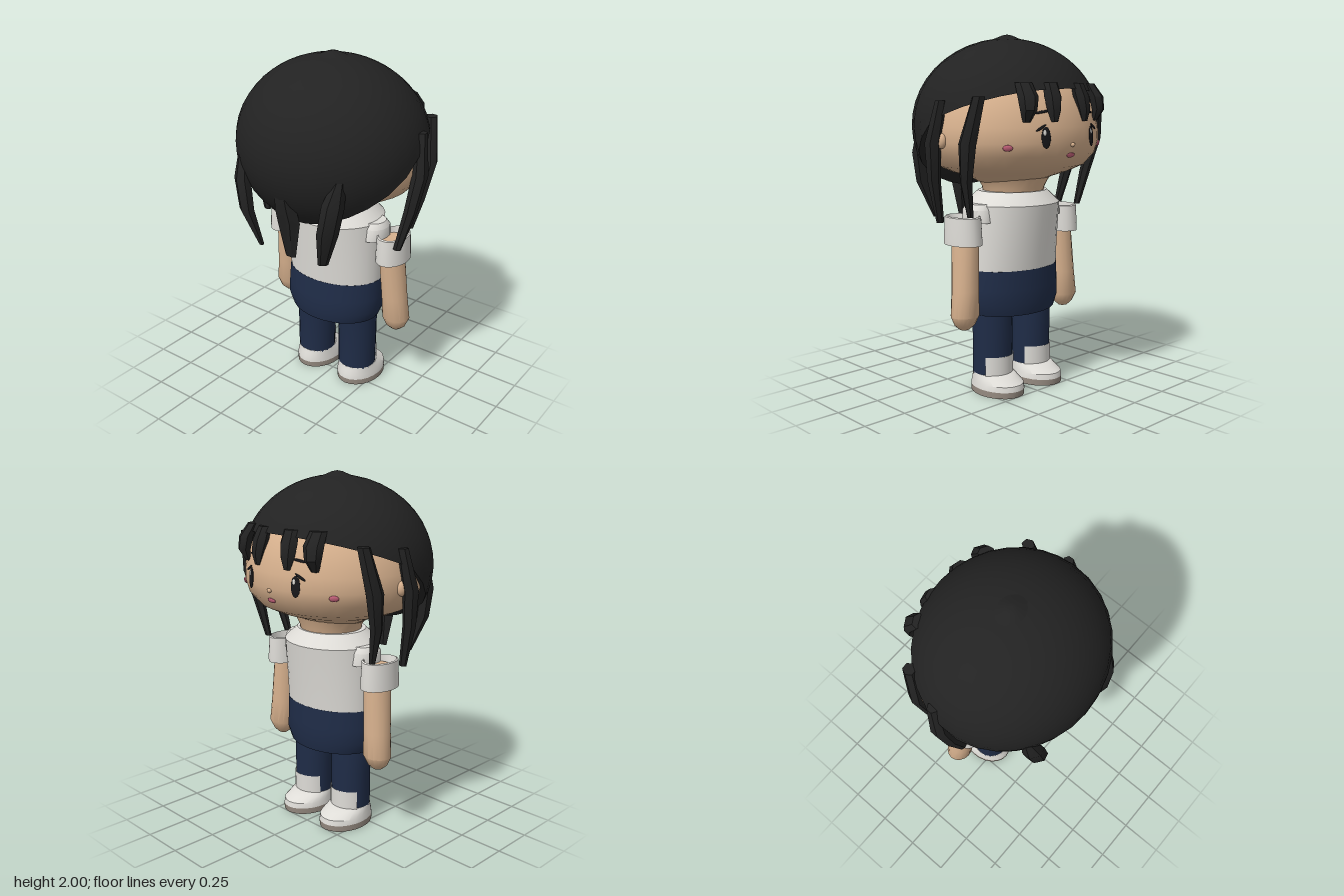
import * as THREE from 'three';
import { toCreasedNormals } from 'three/addons/utils/BufferGeometryUtils.js';

const mat = (name, color, side = THREE.FrontSide) => {
  const m = new THREE.MeshStandardMaterial({ color, side });
  m.name = name;
  return m;
};

// Closed skin over horizontal ellipses [x, y, z, rx, rz], listed bottom to top, turned by rot
function loft(rings, n = 24, rot = 0, crease = 0.6) {
  const pos = [], idx = [], c = Math.cos(rot), s = Math.sin(rot);
  rings.forEach(([x, y, z, rx, rz]) => {
    for (let i = 0; i < n; i++) {
      const a = i / n * Math.PI * 2, u = Math.cos(a) * rx, v = Math.sin(a) * rz;
      pos.push(x + u * c + v * s, y, z - u * s + v * c);
    }
  });
  const last = (rings.length - 1) * n, lo = rings.length * n, hi = lo + 1;
  pos.push(...rings[0].slice(0, 3), ...rings[rings.length - 1].slice(0, 3));
  for (let i = 0; i < n; i++) {
    const k = (i + 1) % n;
    for (let j = 0; j < last; j += n)
      idx.push(j + i, j + n + i, j + k, j + k, j + n + i, j + n + k);
    idx.push(lo, i, k, hi, last + k, last + i);
  }
  const g = new THREE.BufferGeometry();
  g.setAttribute('position', new THREE.Float32BufferAttribute(pos, 3));
  g.setIndex(idx);
  g.computeVertexNormals();
  return toCreasedNormals(g, crease);
}

// Hair cap: ellipsoid cut by a sloping hairline, with a lip turned in to the head
function hairCap() {
  const n = 32, rows = 14, pos = [], idx = [];
  for (let j = 0; j <= rows + 1; j++) {
    for (let i = 0; i < n; i++) {
      const t = i / n * Math.PI * 2, c = Math.cos(t);
      const edge = 1.53 + (c > 0 ? -0.47 * c + 0.08 * c * c : -0.22 * c - 0.05 * c * c);
      const end = Math.acos((edge - 1.5) / 0.48);
      const p = end * Math.min(j, rows) / rows, k = j > rows ? 0.8 : 1;
      pos.push(0.55 * Math.sin(p) * Math.sin(t) * k, 1.5 + 0.48 * Math.cos(p) + (j > rows ? 0.05 : 0),
        0.51 * Math.sin(p) * c * k);
    }
  }
  for (let j = 0; j <= rows; j++) for (let i = 0; i < n; i++) {
    const a = j * n + i, b = j * n + (i + 1) % n;
    if (j > 0) idx.push(a, a + n, b);
    idx.push(b, a + n, b + n);
  }
  const g = new THREE.BufferGeometry();
  g.setAttribute('position', new THREE.Float32BufferAttribute(pos, 3));
  g.setIndex(idx);
  g.computeVertexNormals();
  return toCreasedNormals(g, 0.9);
}

// Head radii along y
const HEAD = [[1.19, 0.18], [1.215, 0.22], [1.25, 0.32], [1.285, 0.395], [1.35, 0.45], [1.42, 0.47],
  [1.5, 0.465], [1.6, 0.437], [1.7, 0.385], [1.82, 0.25], [1.88, 0.08]];
const HZ = -0.03, HX = 1.11;
function faceZ(x, y) {
  let i = 0;
  while (i < HEAD.length - 2 && HEAD[i + 1][0] < y) i++;
  const [y0, r0] = HEAD[i], [y1, r1] = HEAD[i + 1];
  const r = r0 + (r1 - r0) * (y - y0) / (y1 - y0);
  return HZ - r * Math.sqrt(Math.max(0, 1 - (x / (r * HX)) ** 2));
}

export function createModel() {
  const root = new THREE.Group();
  root.name = 'figure';
  const hair = mat('black hair', 0x222222, THREE.DoubleSide);
  const skin = mat('skin', 0xd6b08d);
  const white = mat('white cloth', 0xdedcd7, THREE.DoubleSide);
  const navy = mat('navy cloth', 0x1f2c47);
  const sole = mat('taupe sole', 0x958a80);
  const pink = mat('pink', 0xc4627a);
  const dark = mat('eye black', 0x17171a);

  const add = (name, geo, m) => {
    const mesh = new THREE.Mesh(geo, m);
    mesh.name = name;
    root.add(mesh);
    return mesh;
  };

  // Head, neck and hair
  add('head', loft(HEAD.map(([y, r]) => [0, y, HZ, r * HX, r]), 32, 0, 1), skin);
  add('neck', loft([[0, 1.08, -0.05, 0.17, 0.16], [0, 1.16, -0.05, 0.18, 0.175], [0, 1.22, -0.05, 0.22, 0.2]]), skin);
  add('hairCap', hairCap(), hair);
  add('crownTip', loft([[0, 1.955, 0, 0.14, 0.12], [0, 1.98, 0, 0.07, 0.06], [0, 1.995, 0, 0.03, 0.03],
    [0, 2, 0, 0.006, 0.006]], 16), hair);

  // Hair locks: [x, y, z, half width, half depth] from root to tip
  const locks = {
    backLock: [[0.32, 1.46, 0.38, 0.03, 0.03], [0.305, 1.34, 0.41, 0.06, 0.045], [0.275, 1.17, 0.42, 0.058, 0.04],
      [0.215, 0.96, 0.38, 0.028, 0.015]],
    sideLock: [[0.525, 1.64, -0.055, 0.03, 0.03], [0.55, 1.42, -0.015, 0.045, 0.042], [0.52, 1.22, 0.015, 0.036, 0.036],
      [0.46, 0.985, 0.04, 0.014, 0.024]],
    templeLock: [[0.455, 1.66, -0.27, 0.035, 0.035], [0.495, 1.42, -0.225, 0.05, 0.035], [0.465, 1.22, -0.18, 0.035, 0.03],
      [0.42, 1.03, -0.16, 0.018, 0.018]],
    outerFringe: [[0.255, 1.73, -0.385, 0.045, 0.03], [0.265, 1.66, -0.43, 0.055, 0.04], [0.27, 1.59, -0.44, 0.045, 0.035],
      [0.265, 1.53, -0.42, 0.02, 0.015]],
    innerFringe: [[0.105, 1.73, -0.43, 0.045, 0.03], [0.11, 1.66, -0.455, 0.053, 0.04], [0.115, 1.59, -0.47, 0.042, 0.033],
      [0.115, 1.53, -0.475, 0.02, 0.015]],
  };
  for (const [name, pts] of Object.entries(locks)) for (const s of [1, -1]) {
    const rot = Math.atan2(s * pts[1][0], pts[1][2]);
    add(name, loft(pts.map(([x, ...r]) => [s * x, ...r]).reverse(), 6, rot), hair);
  }
  add('centreBackLock', loft([[0, 0.95, 0.385, 0.035, 0.014], [0, 1.17, 0.4, 0.08, 0.045],
    [0, 1.25, 0.42, 0.075, 0.045], [0, 1.34, 0.44, 0.06, 0.035]], 6), hair);

  // Painted face pieces laid on the surface
  const ball = new THREE.SphereGeometry(1, 20, 12);
  const onFace = (name, x, y, w, h, d, m, roll = 0, lift = 0) => {
    const z = faceZ(x, y), e = 0.01;
    const nx = (faceZ(x + e, y) - faceZ(x - e, y)) / (2 * e), ny = (faceZ(x, y + e) - faceZ(x, y - e)) / (2 * e);
    const nrm = new THREE.Vector3(nx, ny, -1).normalize();
    const mesh = add(name, ball, m);
    mesh.position.set(x, y, z).addScaledVector(nrm, lift);
    mesh.lookAt(mesh.position.clone().add(nrm));
    mesh.rotateZ(roll);
    mesh.scale.set(w, h, d);
  };
  for (const s of [1, -1]) {
    onFace('eye', s * 0.175, 1.45, 0.027, 0.056, 0.005, dark, 0, 0.002);
    onFace('eyeHighlight', s * 0.175 + 0.008, 1.475, 0.009, 0.015, 0.004, white, 0, 0.006);
    onFace('eyelash', s * 0.2, 1.5, 0.035, 0.007, 0.005, dark, s * 0.5, 0.004);
    onFace('eyebrow', s * 0.18, 1.58, 0.05, 0.007, 0.005, dark, s * 0.15, 0.003);
    onFace('cheek', s * 0.35, 1.4, 0.026, 0.017, 0.009, pink, 0, 0.002);
    const ear = add('ear', ball, skin);
    ear.position.set(s * 0.52, 1.43, -0.05);
    ear.scale.set(0.025, 0.04, 0.03);
  }
  onFace('mouth', 0, 1.355, 0.03, 0.014, 0.006, pink, 0, 0.002);
  onFace('nose', 0, 1.41, 0.014, 0.012, 0.014, skin);

  // Shirt and shorts
  add('shirt', loft([[0, 0.71, -0.035, 0.298, 0.215], [0, 0.85, -0.037, 0.293, 0.227], [0, 1.07, -0.043, 0.285, 0.25],
    [0, 1.14, -0.045, 0.205, 0.185]], 32), white);
  add('shorts', loft([[0, 0.455, -0.03, 0.28, 0.212], [0, 0.52, -0.03, 0.308, 0.226], [0, 0.6, -0.032, 0.306, 0.222],
    [0, 0.71, -0.035, 0.299, 0.216]], 32), navy);

  for (const s of [1, -1]) {
    // Arm and open sleeve
    add('arm', loft([[s * 0.395, 0.405, -0.08, 0.03, 0.025], [s * 0.395, 0.43, -0.08, 0.06, 0.05],
      [s * 0.395, 0.48, -0.082, 0.082, 0.073], [s * 0.385, 0.62, -0.075, 0.076, 0.074],
      [s * 0.37, 0.87, -0.06, 0.071, 0.08], [s * 0.36, 0.99, -0.055, 0.06, 0.075]], 16), skin);
    const sleeve = new THREE.LatheGeometry([[0.8, 0.89], [0.85, 0.87], [1, 0.87], [1, 0.9], [0.94, 1.02], [0.86, 1.025], [0.8, 0.98], [0, 0.98]]
      .map(([r, y]) => new THREE.Vector2(r, y)), 24);
    sleeve.scale(0.088, 1, 0.123);
    sleeve.translate(s * 0.38, 0, -0.053);
    add('sleeve', toCreasedNormals(sleeve, 0.6), white);
    add('shoulder', loft([[s * 0.27, 0.98, -0.045, 0.07, 0.1], [s * 0.27, 1.05, -0.045, 0.07, 0.09],
      [s * 0.26, 1.08, -0.045, 0.06, 0.07]], 16), white);

    // Leg, sock panel and shoe
    add('leg', loft([[s * 0.153, 0.09, -0.04, 0.113, 0.11], [s * 0.153, 0.33, -0.042, 0.115, 0.112],
      [s * 0.155, 0.5, -0.03, 0.12, 0.12]], 20), navy);
    const sock = new THREE.CylinderGeometry(1, 1, 0.115, 12, 1, true, Math.PI - 1.08, 2.16);
    sock.scale(0.119, 1, 0.117);
    sock.translate(s * 0.153, 0.157, -0.041);
    add('sock', sock, white);
    add('sole', loft([[s * 0.154, 0, -0.083, 0.131, 0.17], [s * 0.154, 0.035, -0.083, 0.131, 0.173]], 24), sole);
    add('shoe', loft([[s * 0.154, 0.035, -0.083, 0.131, 0.173], [s * 0.154, 0.065, -0.082, 0.127, 0.168],
      [s * 0.153, 0.09, -0.062, 0.12, 0.138], [s * 0.153, 0.11, -0.045, 0.114, 0.116]], 24), white);
  }
  return root;
}
